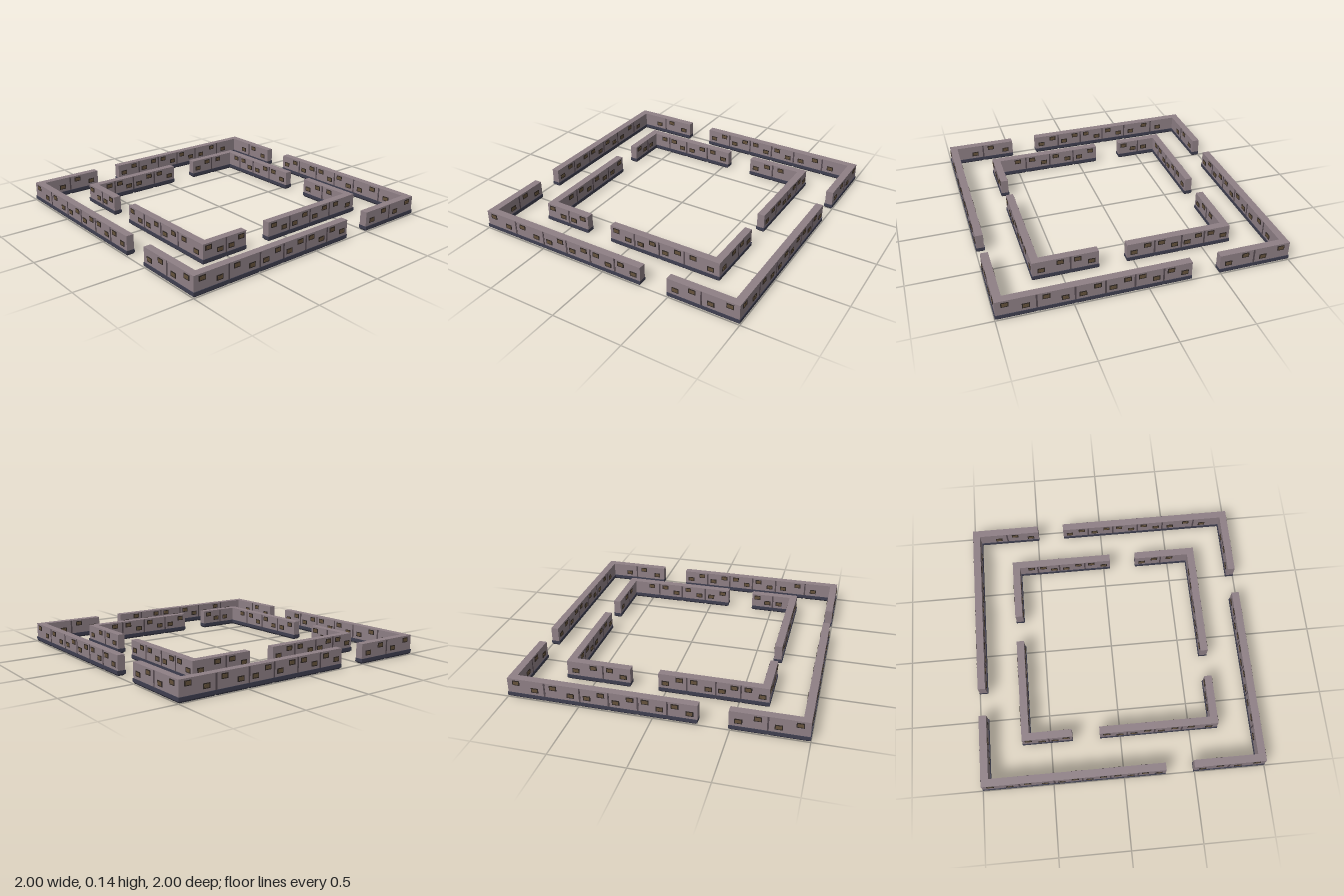
import * as THREE from 'three';

const mat = (name, color) => {
  const m = new THREE.MeshStandardMaterial({ color });
  m.name = name;
  return m;
};

export function createModel() {
  const wallMat = mat('mauve stone', 0x8f8086);
  const baseMat = mat('dark slate', 0x3f3f50);
  const ribMat = mat('joint grey', 0x574c52);
  const frameMat = mat('window frame', 0x2f2824);
  const paneMat = mat('window brown', 0x66533c);

  const H = 0.14, BASE_H = 0.036, BASE_W = 0.062, BODY_W = 0.053;
  const INSET = (BASE_W - BODY_W) / 2;

  function box(parent, name, material, w, h, d, x, y, z) {
    const mesh = new THREE.Mesh(new THREE.BoxGeometry(w, h, d), material);
    mesh.name = name;
    mesh.position.set(x, y, z);
    parent.add(mesh);
    return mesh;
  }

  // Plinth: a block whose underside is chamfered inwards
  function plinth(parent, a, b, z) {
    const geo = new THREE.BoxGeometry(b - a, BASE_H, BASE_W, 1, 2, 1);
    const p = geo.attributes.position;
    for (let i = 0; i < p.count; i++) {
      const y = p.getY(i);
      if (Math.abs(y) < 1e-5) p.setY(i, -BASE_H / 2 + 0.012);
      if (y < -1e-5) {
        p.setX(i, p.getX(i) - Math.sign(p.getX(i)) * 0.011);
        p.setZ(i, p.getZ(i) - Math.sign(p.getZ(i)) * 0.011);
      }
    }
    const flat = geo.toNonIndexed();
    flat.computeVertexNormals();
    const mesh = new THREE.Mesh(flat, baseMat);
    mesh.name = 'plinth';
    mesh.position.set((a + b) / 2, BASE_H / 2, z);
    parent.add(mesh);
  }

  // One wall module from a to b along x, with windows on both faces
  function wallModule(parent, a, b, half, highFirst) {
    const z = half - BASE_W / 2;
    const inner = half - BASE_W;
    const g = new THREE.Group();
    g.name = 'wallModule';
    parent.add(g);
    plinth(g, a, b, z);
    const a2 = a <= -half ? a + INSET : a;
    const b2 = b >= half ? b - INSET : b;
    box(g, 'wallBody', wallMat, b2 - a2, H - BASE_H, BODY_W, (a2 + b2) / 2, (H + BASE_H) / 2, z);
    [0.25, 0.74].forEach((f, i) => {
      const x = a + (b - a) * f;
      const y = (i === 0) === highFirst ? 0.111 : 0.073;
      for (const s of [1, -1]) {
        if (s < 0 && Math.abs(x) > inner - 0.03) continue; // buried in the corner
        const face = z + s * BODY_W / 2;
        box(g, 'windowFrame', frameMat, 0.05, 0.034, 0.007, x, y, face);
        box(g, 'windowPane', paneMat, 0.037, 0.022, 0.009, x, y, face);
      }
    });
  }

  // One side of a ring: breaks between modules, skipping the gateway
  function side(half, breaks, gate, pattern, turn) {
    const g = new THREE.Group();
    g.name = 'wallSide';
    const z = half - BASE_W / 2;
    for (let i = 0; i < breaks.length - 1; i++) {
      if (i === gate) continue;
      wallModule(g, breaks[i], breaks[i + 1], half, pattern[i] === 'H');
      // Joint rib shared with the next module
      if (i + 1 !== gate && i + 2 < breaks.length) {
        box(g, 'jointRib', ribMat, 0.011, H - BASE_H - 0.002, BODY_W + 0.005,
          breaks[i + 1], (H + BASE_H) / 2 - 0.001, z);
      }
    }
    g.rotation.y = turn * Math.PI / 2;
    return g;
  }

  const outer = new THREE.Group();
  outer.name = 'outerRing';
  const inner = new THREE.Group();
  inner.name = 'innerRing';

  const outerBreaks = [-1, -0.735, -0.49, -0.293, -0.097, 0.097, 0.293, 0.49, 0.735, 1];
  const innerFront = [-0.703, -0.51, -0.343, -0.147, 0.049, 0.245, 0.44, 0.703];
  const innerBack = innerFront.map((v) => -v).reverse();

  for (let k = 0; k < 4; k++) {
    outer.add(side(1, outerBreaks, 6, 'HHLLHHHLL', k));
    // Gateways of the inner ring shift between the two pairs of sides
    inner.add(k < 2
      ? side(0.703, innerFront, 2, 'HLHHLLH', k)
      : side(0.703, innerBack, 0 + 2, 'LHHLHLH', k));
  }

  const model = new THREE.Group();
  model.name = 'ringWalls';
  model.add(outer, inner);
  return model;
}
